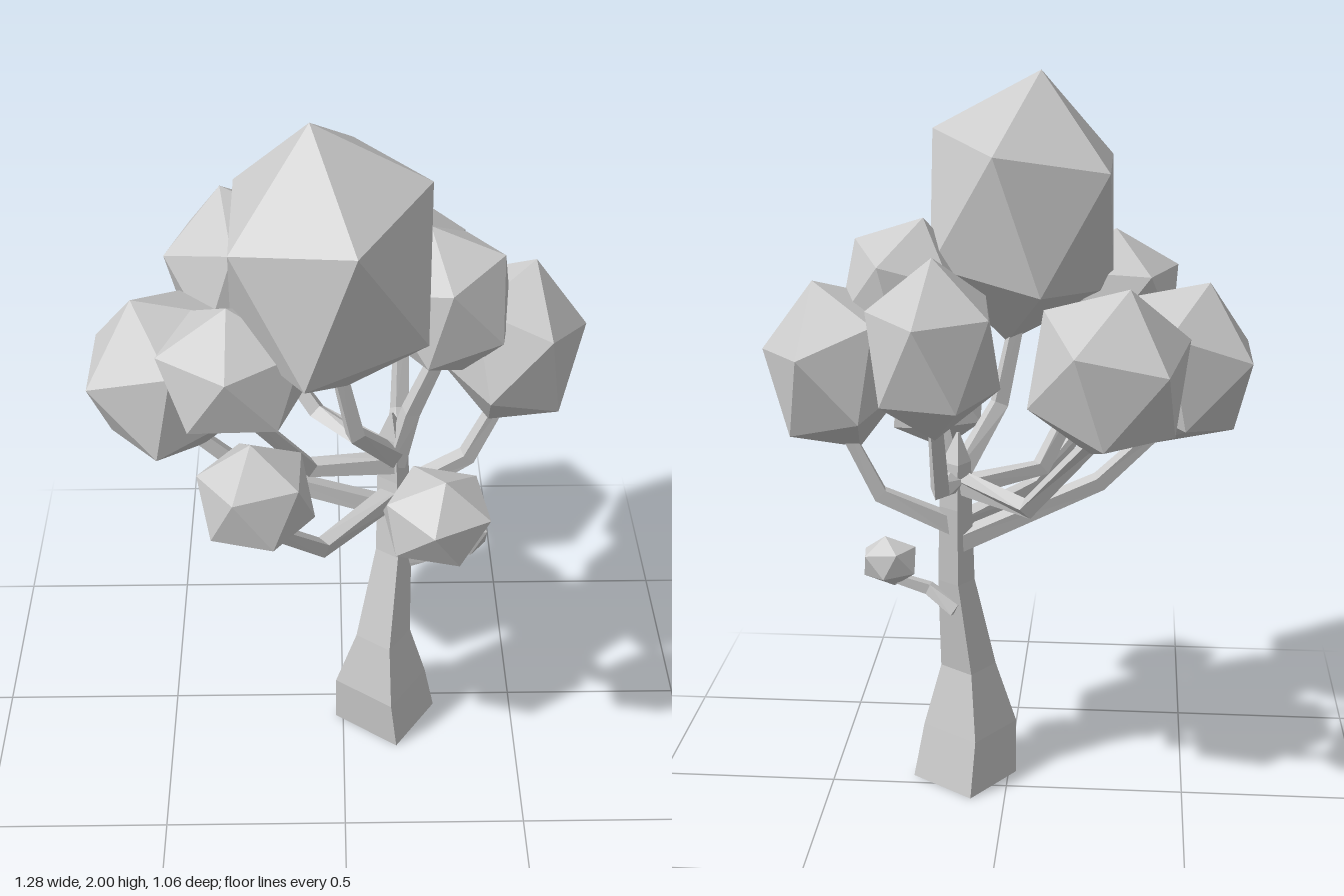
import * as THREE from 'three';

const material = new THREE.MeshStandardMaterial({ color: 0xcccccc, flatShading: true });
const vec = (x, y, z) => new THREE.Vector3(x, y, z);

function addMesh(group, name, geometry) {
  const mesh = new THREE.Mesh(geometry, material);
  mesh.name = name;
  group.add(mesh);
}

// Faceted skin over four-cornered rings (counterclockwise about the path), capped at both ends
function loft(rings) {
  const points = [];
  const quad = (a, b, c, d) => points.push(a, b, c, a, c, d);
  for (let k = 0; k < rings.length - 1; k++) {
    for (let i = 0; i < 4; i++) {
      const j = (i + 1) % 4;
      quad(rings[k][i], rings[k][j], rings[k + 1][j], rings[k + 1][i]);
    }
  }
  quad(...[...rings[0]].reverse());
  quad(...rings[rings.length - 1]);
  const g = new THREE.BufferGeometry().setFromPoints(points);
  g.computeVertexNormals();
  return g;
}

// Tapered four-sided branch along a bent path
function branch(path, radius) {
  const end = path.length - 1;
  return loft(path.map((p, k) => {
    const dir = path[Math.min(k + 1, end)].clone().sub(path[Math.max(k - 1, 0)]).normalize();
    const u = vec(0.3, 0.1, 1).cross(dir).normalize();
    const v = dir.clone().cross(u);
    const r = radius * (1 - 0.35 * k / end);
    return [0, 1, 2, 3].map((i) => {
      const a = (i + 0.5) * Math.PI / 2;
      return p.clone().addScaledVector(u, r * Math.cos(a)).addScaledVector(v, r * Math.sin(a));
    });
  }));
}

// Orthogonal frame from a pole and a second direction
function frame(p, q) {
  const x = p.clone().normalize(), y = x.clone().cross(q).normalize();
  return new THREE.Matrix4().makeBasis(x, y, x.clone().cross(y));
}

// Icosahedron with its top corner leaning in x and z and turned, sized by its half extents
function leafClump(center, half, [leanX, leanZ], degrees) {
  const t = (1 + Math.sqrt(5)) / 2, a = THREE.MathUtils.degToRad(degrees);
  const g = new THREE.IcosahedronGeometry(1, 0);
  const source = frame(vec(0, 1, t), vec(0, -1, t));
  const target = frame(vec(leanX, half.y, leanZ), vec(Math.cos(a), 0, Math.sin(a)));
  g.applyMatrix4(target.multiply(source.invert()));
  g.computeBoundingBox();
  const scale = half.clone().multiplyScalar(2).divide(g.boundingBox.getSize(vec(0, 0, 0)));
  g.scale(scale.x, scale.y, scale.z);
  g.translate(center.x, center.y, center.z);
  g.computeVertexNormals();
  return g;
}

export function createModel() {
  const tree = new THREE.Group();
  tree.name = 'tree';

  // Trunk: skewed square sections given by height, center x, center z and radius
  const sections = [
    [0, 0.125, 0.065, 0.146],
    [0.16, 0.11, 0.08, 0.131],
    [0.34, 0.115, 0.087, 0.077],
    [0.62, 0.142, 0.037, 0.05],
    [0.85, 0.138, 0, 0.044],
    [0.98, 0.134, -0.008, 0.039],
    [1.06, 0.13, 0, 0.004],
  ];
  const corners = [[-1, 0.15], [0.2, 1], [1, -0.15], [-0.2, -1]];
  addMesh(tree, 'trunk', loft(sections.map(([y, x, z, r]) =>
    corners.map(([cx, cz]) => vec(x + r * cx, y, z + r * cz)))));

  // Limb: leaf clump on a branch that leaves the trunk at a height and bends at an elbow
  function addLimb(name, center, half, lean, turn, height, elbow, radius = 0.034) {
    const limb = new THREE.Group();
    limb.name = name + 'Limb';
    const tip = vec(center.x, center.y - 0.6 * half.y, center.z);
    addMesh(limb, 'branch', branch([vec(0.14, height, 0.01), elbow, tip], radius));
    addMesh(limb, 'leafClump', leafClump(center, half, lean, turn));
    tree.add(limb);
  }
  addLimb('crown', vec(-0.035, 1.635, 0.17), vec(0.243, 0.365, 0.293), [-0.055, 0], 0, 0.92, vec(0.03, 1.1, 0.15));
  addLimb('right', vec(-0.45, 1.24, 0.07), vec(0.195, 0.225, 0.205), [-0.085, 0], 0, 0.74, vec(-0.25, 0.91, 0.06));
  addLimb('backRight', vec(-0.278, 1.32, -0.326), vec(0.198, 0.222, 0.205), [-0.05, -0.045], 14, 0.92, vec(-0.07, 0.92, -0.2));
  addLimb('back', vec(0.164, 1.35, -0.25), vec(0.166, 0.238, 0.2), [0, -0.01], -80, 0.92, vec(0.16, 0.95, -0.17));
  addLimb('upperLeft', vec(0.265, 1.43, 0.025), vec(0.167, 0.207, 0.167), [-0.055, -0.015], 10, 0.9, vec(0.18, 1.08, 0.02));
  addLimb('left', vec(0.445, 1.253, -0.05), vec(0.193, 0.233, 0.202), [0.065, -0.03], -2, 0.79, vec(0.34, 0.89, -0.03));
  addLimb('upperRight', vec(-0.27, 1.39, 0.27), vec(0.183, 0.178, 0.182), [-0.01, 0], 92, 0.9, vec(-0.09, 0.94, 0.08));
  addLimb('frontRight', vec(-0.22, 1.1, 0.4), vec(0.145, 0.16, 0.127), [-0.01, 0], 110, 0.79, vec(-0.06, 0.82, 0.27));
  addLimb('frontLeft', vec(0.228, 1.025, 0.39), vec(0.13, 0.127, 0.137), [0.015, 0.025], 97, 0.74, vec(0.19, 0.81, 0.27));
  addLimb('twig', vec(0.327, 0.67, 0.035), vec(0.072, 0.073, 0.06), [0.01, 0], 30, 0.54, vec(0.22, 0.59, 0.04), 0.026);
  return tree;
}
